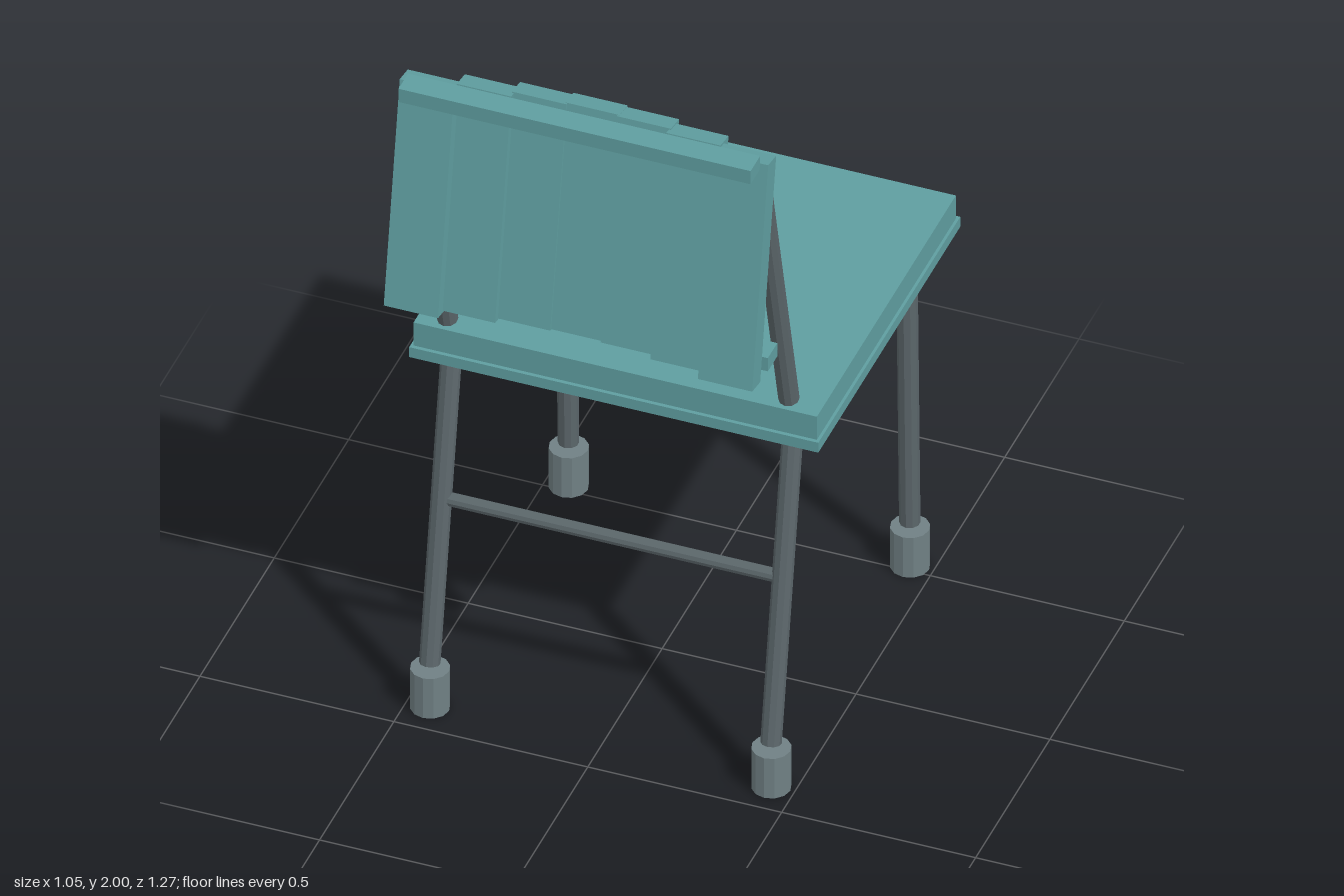
import * as THREE from 'three';

export function createModel() {
  const chair = new THREE.Group();
  chair.name = 'chair';

  const material = (name, color) => {
    const m = new THREE.MeshStandardMaterial({ color, flatShading: true });
    m.name = name;
    return m;
  };
  const teal = material('teal paint', 0x5f9ea0);
  const metal = material('dark metal', 0x5b666a);
  const rubber = material('grey rubber', 0x708084);

  const add = (name, geometry, mat, x, y, z) => {
    const mesh = new THREE.Mesh(geometry, mat);
    mesh.name = name;
    mesh.position.set(x, y, z);
    chair.add(mesh);
    return mesh;
  };
  const box = (name, w, h, d, x, y, z) =>
    add(name, new THREE.BoxGeometry(w, h, d), teal, x, y, z);

  // Straight rod between two points
  const rod = (name, a, b, radius, mat) => {
    const from = new THREE.Vector3(...a), to = new THREE.Vector3(...b);
    const dir = to.clone().sub(from);
    const mid = from.clone().add(to).multiplyScalar(0.5);
    const mesh = add(name, new THREE.CylinderGeometry(radius, radius, dir.length(), 10), mat, mid.x, mid.y, mid.z);
    mesh.quaternion.setFromUnitVectors(new THREE.Vector3(0, 1, 0), dir.normalize());
  };

  // Seat with a slightly wider lower trim and a rounded bead along one edge
  box('seat', 1.04, 0.1, 0.935, 0, 1.025, -0.152);
  box('seatTrim', 1.055, 0.03, 0.955, 0, 0.99, -0.152);
  rod('seatBead', [-0.49, 1.0, -0.624], [0.49, 1.0, -0.624], 0.012, teal);

  // Legs, feet and back posts, mirrored left and right
  for (const [side, x] of [['left', 0.44], ['right', -0.44]]) {
    rod(side + 'BackLeg', [x, 0.135, 0.415], [x, 0.98, 0.268], 0.026, metal);
    rod(side + 'FrontLeg', [x, 0.135, -0.518], [x, 0.965, -0.498], 0.026, metal);
    rod(side + 'BackPost', [x, 1.095, 0.295], [x, 1.885, 0.485], 0.026, metal);
    for (const z of [0.413, -0.52]) {
      add(side + 'Foot', new THREE.CylinderGeometry(0.049, 0.049, 0.12, 12), rubber, x, 0.06, z);
    }
  }
  rod('crossbar', [-0.44, 0.58, 0.335], [0.44, 0.58, 0.335], 0.018, metal);

  // Tilted back slats set along a shallow curve
  for (let i = -3; i <= 3; i++) {
    const slat = box('backSlat', 0.14, 0.62, 0.055, i * 0.135, 1.668, 0.4955 + 0.057 * (i / 3) ** 2);
    slat.rotation.x = -THREE.MathUtils.degToRad(10);
  }

  // Rails above and below the slats
  box('topRail', 0.908, 0.04, 0.064, 0, 1.98, 0.557);
  box('bottomRail', 0.93, 0.04, 0.064, 0, 1.352, 0.47);

  return chair;
}
